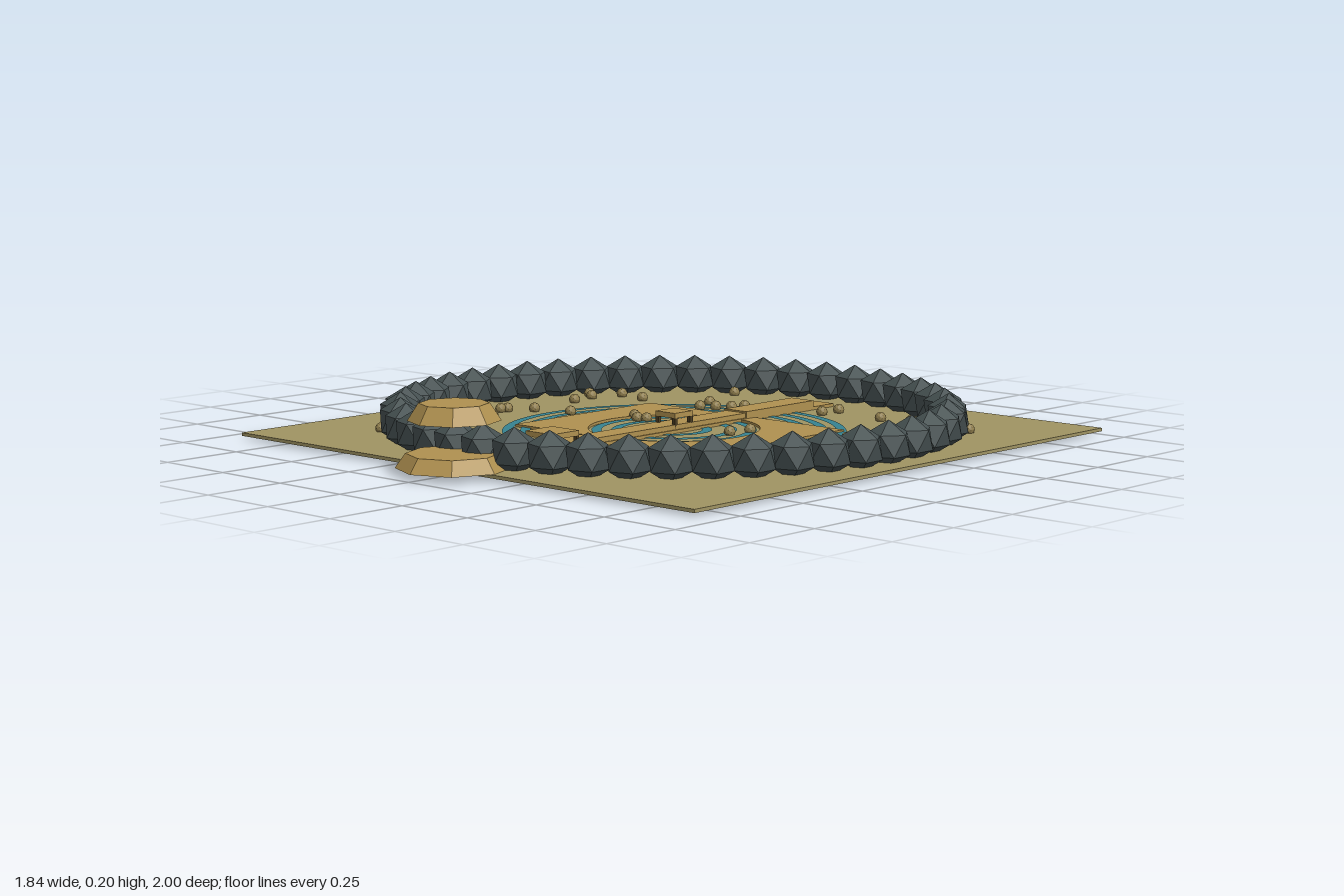
import * as THREE from 'three';

const CZ = -0.08; // centre of the stone circle
const mat = (name, color, extra = {}) => {
  const m = new THREE.MeshStandardMaterial({ color, flatShading: true, ...extra });
  m.name = name;
  return m;
};

export function createModel() {
  const model = new THREE.Group();
  model.name = 'stoneCircleGarden';
  const grass = mat('olive ground', 0xa09463);
  const stone = mat('dark slate', 0x465152);
  const tan = mat('tan sandstone', 0xb09150);
  const water = mat('teal water', 0x378391);
  const pebbleMat = mat('brown pebble', 0x92804f);
  const dark = mat('dark timber', 0x4a3c22);

  const add = (name, geo, material, x, y, z, parent = model) => {
    const m = new THREE.Mesh(geo, material);
    m.name = name;
    m.position.set(x, y, z);
    parent.add(m);
    return m;
  };
  const box = (name, w, h, d, material, x, y, z, parent) =>
    add(name, new THREE.BoxGeometry(w, h, d), material, x, y, z, parent);

  // Square ground slab
  box('ground', 1.84, 0.01, 1.84, grass, 0, 0.015, CZ);

  // Ring of boulders, each standing on a point
  const boulder = new THREE.IcosahedronGeometry(0.07, 0);
  boulder.rotateZ(-Math.atan(2 / (1 + Math.sqrt(5))));
  for (let i = 0; i < 45; i++) {
    const a = (i / 45) * Math.PI * 2;
    add('boulder', boulder, stone, 0.825 * Math.cos(a), 0.07, CZ + 0.825 * Math.sin(a));
  }

  // Concentric water channels; the wide ones are open at the front
  const channel = (inner, outer, gap) => {
    const g = new THREE.RingGeometry(inner, outer, 64, 1, -Math.PI / 2 + gap, Math.PI * 2 - 2 * gap);
    g.rotateX(-Math.PI / 2);
    add('waterChannel', g, water, 0, 0.0225, CZ);
  };
  for (const r of [0.52, 0.465, 0.41, 0.355]) channel(r - 0.03, r, Math.asin(0.24 / r));
  for (const r of [0.25, 0.19, 0.115]) channel(r - 0.03, r, 0);

  // Paved court with a round opening
  const court = new THREE.Shape();
  court.moveTo(-0.4, -0.2);
  court.lineTo(0.4, -0.2);
  court.lineTo(0.4, 0.4);
  court.lineTo(-0.4, 0.4);
  const opening = new THREE.Path();
  opening.absarc(0, -CZ, 0.26, 0, Math.PI * 2, true);
  court.holes.push(opening);
  const slab = (shape) => {
    const g = new THREE.ExtrudeGeometry(shape, { depth: 0.008, bevelEnabled: false, curveSegments: 32 });
    g.rotateX(-Math.PI / 2);
    return g;
  };
  add('pavedCourt', slab(court), tan, 0, 0.02, 0);

  // Diagonal paths meeting at the front gate
  for (const s of [-1, 1]) {
    const p = [[0.24, -0.2], [0, -0.42], [0, -0.34], [0.15, -0.2]];
    const path = new THREE.Shape(p.map(([x, y]) => new THREE.Vector2(s * x, y)));
    add('diagonalPath', slab(path), tan, 0, 0.02, 0);
  }

  // Long central causeway with low ends
  box('causewayFoot', 0.09, 0.01, 1.38, tan, 0, 0.025, -0.09);
  box('rearCauseway', 0.09, 0.03, 0.32, tan, 0, 0.035, -0.52);
  box('causeway', 0.08, 0.025, 0.8, tan, 0, 0.0325, 0.04);

  // Small gates over the causeway
  const gate = (size, z) => {
    const g = new THREE.Group();
    g.name = 'gate';
    g.position.set(0, 0, z);
    model.add(g);
    box('gateRoof', size, 0.016, size, tan, 0, 0.072, 0, g);
    const o = size / 2 - 0.006;
    for (const x of [-o, o]) for (const d of [-o, o])
      box('gatePost', 0.012, 0.045, 0.012, dark, x, 0.0425, d, g);
  };
  gate(0.08, -0.08);
  gate(0.11, 0.44);

  // Octagonal plinth and the cap floating above it
  add('plinth', new THREE.CylinderGeometry(0.135, 0.165, 0.042, 8), tan, 0, 0.041, 0.83);
  add('floatingCap', new THREE.CylinderGeometry(0.1, 0.132, 0.05, 8), tan, 0, 0.178, 0.826);

  // Scattered pebbles
  const pebble = new THREE.IcosahedronGeometry(0.018, 1);
  const spots = [
    [-0.35, -0.75], [0.14, -0.69], [0.13, -0.62], [0.34, -0.65], [0.45, -0.66], [0.56, -0.63],
    [0.68, -0.65], [0.6, -0.51], [0.68, -0.39], [-0.6, -0.48], [-0.49, -0.46], [-0.68, -0.41],
    [-0.64, -0.38], [-0.62, -0.28], [-0.27, -0.54], [-0.13, -0.55], [-0.15, -0.51], [-0.19, -0.48],
    [-0.23, -0.45], [-0.25, -0.17], [-0.21, -0.14], [-0.18, -0.15], [0.2, -0.2], [0.18, -0.13],
    [0.51, -0.28], [0.55, -0.3], [0.6, -0.2], [0.65, -0.2], [0.66, -0.12], [0.51, -0.06],
    [-0.45, -0.09], [-0.58, -0.06], [-0.64, 0], [-0.65, 0.02], [-0.56, 0.14], [0.46, 0.15],
    [0.56, 0.16], [0.6, 0.24], [0.64, 0.3], [-0.29, 0.54], [0.32, 0.6], [-0.63, 0.54],
  ];
  for (const [x, z] of spots) add('pebble', pebble, pebbleMat, x, 0.03, z);

  return model;
}
